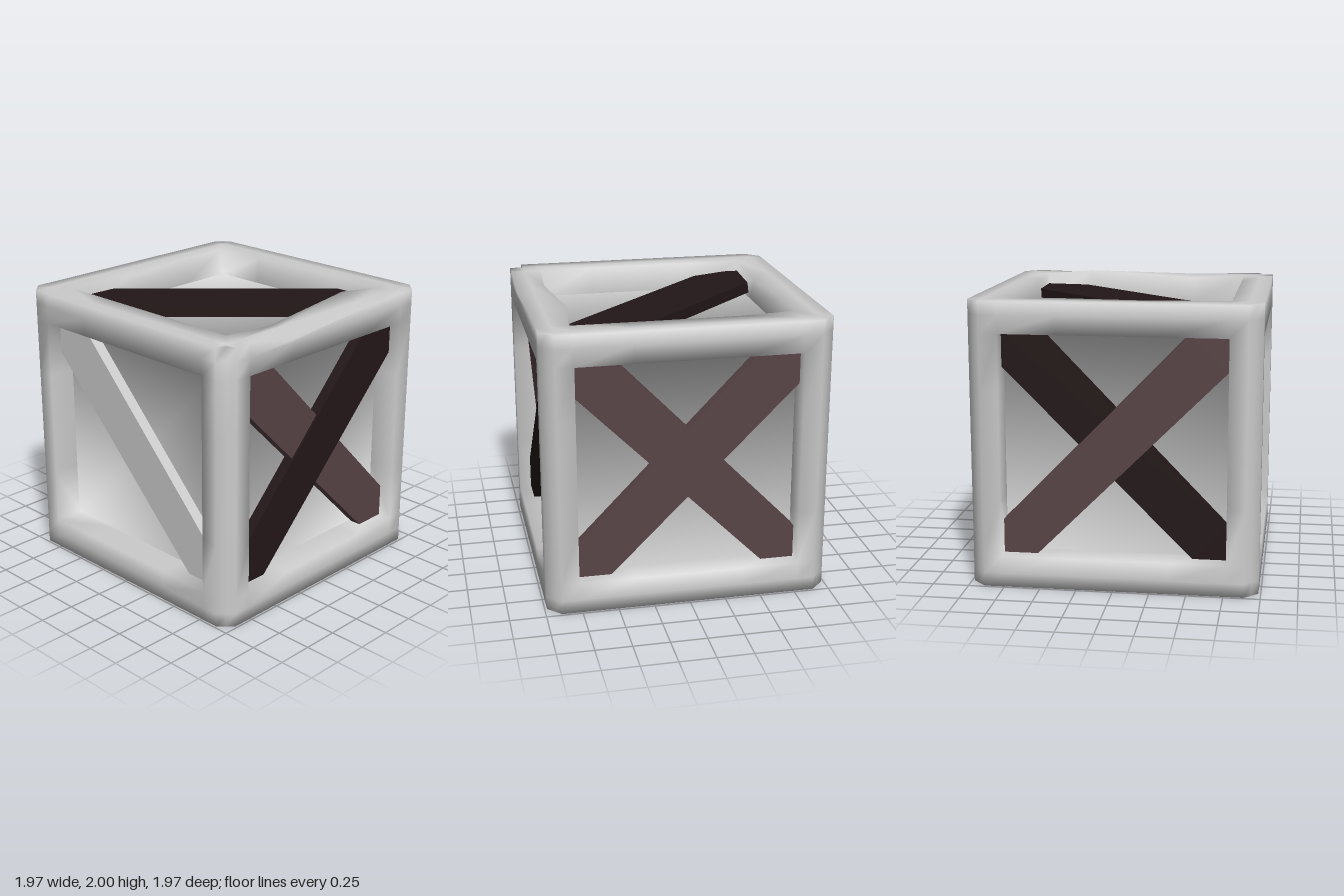
import * as THREE from 'three';

const H = 0.984;      // half size of the box
const RIM = 0.767;    // half size of each opening
const DEPTH = 0.2;    // recess of the panels
const GRID = [-H, -0.89, -RIM, -0.38, 0.38, RIM, 0.89, H];

// Rotations that carry a +z facing side onto each side of the box
const rot = (x, y) => new THREE.Euler(x, y, 0);
const SIDES = {
  front: rot(0, 0), right: rot(0, Math.PI / 2), back: rot(0, Math.PI), left: rot(0, -Math.PI / 2),
  top: rot(-Math.PI / 2, 0), bottom: rot(Math.PI / 2, 0),
};

// Worn spots on the top rim and one corner: [position, offset]
const EDGE = H * 0.952;
const DENTS = [
  [[0.38, H, RIM], [0.04, 0.032, -0.035]],
  [[-0.38, H, H], [0, -0.07, 0]],
  [[-0.38, H, RIM], [0, -0.02, 0.02]],
  [[0.38, H, H], [0, -0.015, 0]],
  [[RIM, H, -RIM], [-0.045, 0, 0.005]],
  [[-0.38, H, -RIM], [0.2, -0.01, 0.03]],
  [[-EDGE, H, EDGE], [0.07, -0.03, -0.07]],
  [[-EDGE, 0.89, EDGE], [0.03, 0, -0.03]],
].map(([p, o]) => [new THREE.Vector3(...p), new THREE.Vector3(...o)]);

// Chamfer the upright edges and apply the wear
function warp(p) {
  if (Math.abs(p.x) > 0.97 && Math.abs(p.z) > 0.97) { p.x *= 0.952; p.z *= 0.952; }
  for (const [at, offset] of DENTS) if (p.distanceTo(at) < 0.01) { p.add(offset); break; }
  return p;
}

// Box with a rounded-looking frame and a recessed panel on every side
function bodyGeometry() {
  const points = [], normals = [], index = [], lookup = new Map();
  const vertex = (p) => {
    const key = p.toArray().map((c) => Math.round(c * 1000)).join();
    if (!lookup.has(key)) {
      lookup.set(key, points.length);
      points.push(p);
      normals.push(new THREE.Vector3());
    }
    return lookup.get(key);
  };
  const deep = H - DEPTH;
  for (const turn of Object.values(SIDES)) {
    const quad = (...corners) => {
      const ids = corners.map((c) => vertex(warp(new THREE.Vector3(...c).applyEuler(turn))));
      const [a, b, c, d] = ids.map((i) => points[i]);
      const n = c.clone().sub(a).cross(d.clone().sub(b)).normalize();
      ids.forEach((i) => normals[i].add(n));
      index.push(ids[0], ids[1], ids[2], ids[0], ids[2], ids[3]);
    };
    for (let i = 0; i < 7; i++) {
      const a = GRID[i], b = GRID[i + 1];
      const inner = i > 1 && i < 5;
      // frame face
      for (let j = 0; j < 7; j++) {
        if (inner && j > 1 && j < 5) continue;
        const c = GRID[j], d = GRID[j + 1];
        quad([a, c, H], [b, c, H], [b, d, H], [a, d, H]);
      }
      // recess walls, facing into the opening
      if (inner) {
        quad([a, -RIM, H], [b, -RIM, H], [b, -RIM, deep], [a, -RIM, deep]);
        quad([b, RIM, H], [a, RIM, H], [a, RIM, deep], [b, RIM, deep]);
        quad([-RIM, b, H], [-RIM, a, H], [-RIM, a, deep], [-RIM, b, deep]);
        quad([RIM, a, H], [RIM, b, H], [RIM, b, deep], [RIM, a, deep]);
      }
    }
    // panel
    quad([-RIM, -RIM, deep], [RIM, -RIM, deep], [RIM, RIM, deep], [-RIM, RIM, deep]);
  }
  const g = new THREE.BufferGeometry();
  g.setAttribute('position', new THREE.Float32BufferAttribute(points.flatMap((p) => p.toArray()), 3));
  g.setAttribute('normal', new THREE.Float32BufferAttribute(normals.flatMap((n) => n.normalize().toArray()), 3));
  g.setIndex(index);
  return g;
}

// Diagonal plank rising to the right; ends are cut to fit the opening's corners
const Q = 0.765, CUT = 0.235;
const RISING = [[-Q, -Q], [CUT - Q, -Q], [Q, Q - CUT], [Q, Q], [Q - CUT - 0.04, Q], [-Q, CUT - Q]];
const FALLING = RISING.map(([x, y]) => [-x, y]).reverse();
const TOP_PLANK = [[-0.77, 0.77], [-0.77, 0.67], [-0.67, 0.4], [0.45, -0.72], [0.765, -0.765], [0.755, -0.41], [-0.4, 0.76]];
const THICKNESS = 0.08;

function plankGeometry(outline) {
  const shape = new THREE.Shape(outline.map(([x, y]) => new THREE.Vector2(x, y)));
  return new THREE.ExtrudeGeometry(shape, { depth: THICKNESS, bevelEnabled: false });
}

export function createModel() {
  const model = new THREE.Group();
  model.name = 'crate';
  const grey = new THREE.MeshStandardMaterial({ color: 0xcccccc });
  const dark = new THREE.MeshStandardMaterial({ color: 0x231718 });
  const brown = new THREE.MeshStandardMaterial({ color: 0x594446 });

  const body = new THREE.Mesh(bodyGeometry(), grey);
  body.name = 'frameAndPanels';
  body.position.y = H;
  model.add(body);

  // Braces: side, outline, material, height of the outer face
  const braces = [
    ['front', RISING, dark, 0.9], ['front', FALLING, brown, 0.885],
    ['right', RISING, brown, 0.89], ['right', FALLING, brown, 0.875],
    ['back', RISING, brown, 0.89], ['back', FALLING, dark, 0.87],
    ['left', FALLING, grey, 0.88],
    ['top', TOP_PLANK, dark, 0.905],
  ];
  for (const [side, outline, material, outer] of braces) {
    const plank = new THREE.Mesh(plankGeometry(outline), material);
    plank.name = side + 'Plank';
    plank.rotation.copy(SIDES[side]);
    plank.position.set(0, 0, outer - THICKNESS).applyEuler(SIDES[side]);
    plank.position.y += H;
    model.add(plank);
  }
  return model;
}
